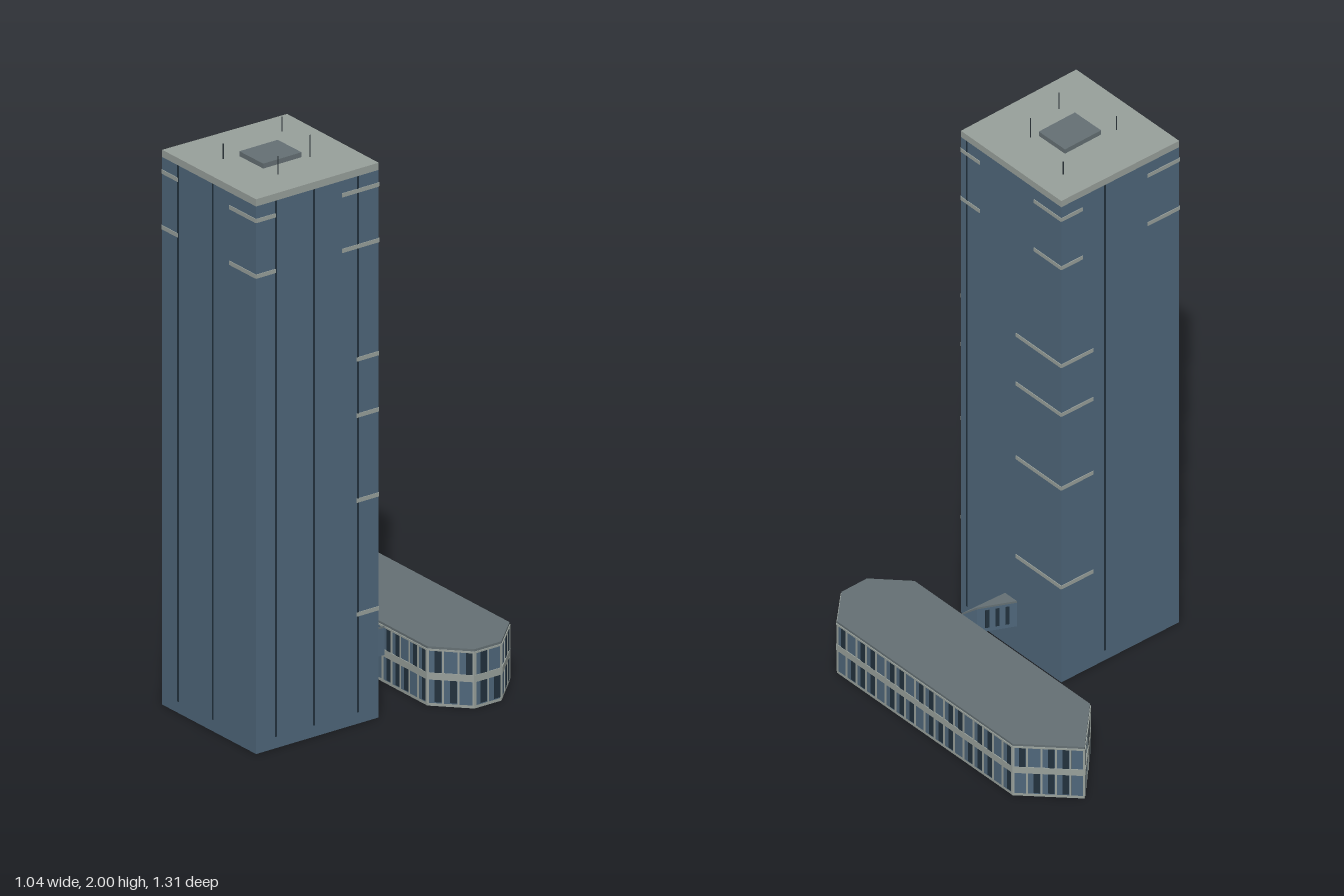
import * as THREE from 'three';

const paint = (name, color) => {
  const m = new THREE.MeshStandardMaterial({ color });
  m.name = name;
  return m;
};

export function createModel() {
  const glass = paint('blue glass', 0x4f677b);
  const darkGlass = paint('dark glass', 0x22313d);
  const trim = paint('pale concrete', 0x98a09b);
  const roofGrey = paint('roof grey', 0x657074);
  const metal = paint('dark metal', 0x2b3338);

  const model = new THREE.Group();
  model.name = 'officeTower';

  const group = (name) => {
    const g = new THREE.Group();
    g.name = name;
    model.add(g);
    return g;
  };

  // Upright prism from a plan outline of [x, z] points
  const prism = (parent, name, plan, y0, y1, mat) => {
    const shape = new THREE.Shape(plan.map(([x, z]) => new THREE.Vector2(x, -z)));
    const geo = new THREE.ExtrudeGeometry(shape, { depth: y1 - y0, bevelEnabled: false });
    geo.rotateX(-Math.PI / 2);
    const mesh = new THREE.Mesh(geo, mat);
    mesh.name = name;
    mesh.position.y = y0;
    parent.add(mesh);
  };

  // Thin plate on the wall from p to q, covering the fractions t0..t1
  const plate = (parent, name, p, q, t0, t1, y0, y1, mat, thick = 0.006) => {
    const dx = q[0] - p[0], dz = q[1] - p[1], t = (t0 + t1) / 2;
    const geo = new THREE.BoxGeometry(Math.hypot(dx, dz) * (t1 - t0), y1 - y0, thick);
    const mesh = new THREE.Mesh(geo, mat);
    mesh.name = name;
    mesh.position.set(p[0] + dx * t, (y0 + y1) / 2, p[1] + dz * t);
    mesh.rotation.y = -Math.atan2(dz, dx);
    parent.add(mesh);
  };

  // Tower: back, right, front and left corners in plan
  const A = [-0.209, 0.04 - 0.08], B = [0.172, 0.268], C = [-0.132, 0.652], D = [-0.522, 0.34];
  const towerPlan = [A, B, C, D];
  const tower = group('tower');
  prism(tower, 'towerBody', towerPlan, 0, 1.9, glass);
  prism(tower, 'towerParapet', towerPlan, 1.9, 1.925, trim);

  // Facade lines and floor bands, as fractions along each wall
  const walls = [
    { p: A, q: B, lines: [0.94], high: [[0, 0.27], [0.81, 1]], low: [[0, 0.45]] },
    { p: B, q: C, lines: [0.17, 0.53, 0.84], high: [[0, 0.3], [0.84, 1]], low: [[0, 0.18]] },
    { p: C, q: D, lines: [0.46, 0.83], high: [[0, 0.28], [0.83, 1]], low: [] },
    { p: D, q: A, lines: [0.63], high: [[0, 0.27], [0.82, 1]], low: [[0.73, 1]] },
  ];
  for (const { p, q, lines, high, low } of walls) {
    for (const t of lines) plate(tower, 'facadeLine', p, q, t - 0.007, t + 0.007, 0.04, 1.9, darkGlass, 0.003);
    for (const y of [1.85, 1.657])
      for (const [a, b] of high) plate(tower, 'upperBand', p, q, a, b, y - 0.007, y + 0.007, trim, 0.005);
    for (const y of [1.265, 1.07, 0.775, 0.38])
      for (const [a, b] of low) plate(tower, 'lowerBand', p, q, a, b, y - 0.007, y + 0.007, trim, 0.005);
  }

  // Rooftop plant box and antennas
  prism(tower, 'roofPlant', [[-0.176, 0.208], [-0.077, 0.286], [-0.172, 0.406], [-0.271, 0.328]], 1.925, 1.942, roofGrey);
  for (const [x, z, top] of [[-0.19, 0.1, 1.975], [-0.052, 0.275, 2], [-0.315, 0.362, 1.978], [-0.115, 0.438, 1.988]]) {
    const mast = new THREE.Mesh(new THREE.CylinderGeometry(0.002, 0.002, top - 1.925, 6), metal);
    mast.name = 'antenna';
    mast.position.set(x, (top + 1.925) / 2, z);
    tower.add(mast);
  }

  // Low annex with chamfered ends
  const annexPlan = [[-0.392, -0.63], [-0.163, -0.654], [0.503, -0.118], [0.517, 0.038],
    [0.45, 0.122], [0.298, 0.136], [-0.368, -0.402]];
  const annex = group('annex');
  prism(annex, 'annexBase', annexPlan, 0, 0.01, trim);
  prism(annex, 'annexWalls', annexPlan, 0.01, 0.198, glass);
  prism(annex, 'annexRoof', annexPlan, 0.198, 0.206, roofGrey);

  // Annex facade: mullions, dark panes on two floors, and a pale middle band
  annexPlan.forEach((p, i) => {
    const q = annexPlan[(i + 1) % annexPlan.length];
    const length = Math.hypot(q[0] - p[0], q[1] - p[1]);
    const n = Math.max(2, Math.round(length / 0.048));
    plate(annex, 'middleBand', p, q, 0, 1, 0.092, 0.116, trim);
    plate(annex, 'topRail', p, q, 0, 1, 0.192, 0.198, trim);
    for (let k = 0; k <= n; k++) {
      const t = Math.min(Math.max(k / n, 0.003 / length), 1 - 0.003 / length), w = 0.003 / length;
      plate(annex, 'mullion', p, q, t - w, t + w, 0.01, 0.195, trim, 0.005);
      if (k === n) continue;
      const a = (k + 0.1) / n, b = (k + 0.55) / n;
      if ((k * 3 + i) % 4 !== 0) plate(annex, 'lowerPane', p, q, a, b, 0.014, 0.092, darkGlass, 0.003);
      if ((k * 5 + i) % 3 !== 0) plate(annex, 'upperPane', p, q, a, b, 0.116, 0.192, darkGlass, 0.003);
    }
  });

  // Raised link bridge between the two buildings
  const bridge = group('linkBridge');
  const b1 = [-0.042, 0.097], b2 = [0.078, 0.042 - 0.003], b3 = [0.122, 0.0], b4 = [0.004, 0.133];
  const bridgePlan = [b1, b2, b3, b4];
  prism(bridge, 'bridgeBody', bridgePlan, 0.1, 0.194, glass);
  prism(bridge, 'bridgeRoof', bridgePlan, 0.194, 0.201, roofGrey);
  for (const [p, q] of [[b1, b2], [b4, b3]])
    for (const t of [0.25, 0.5, 0.75]) plate(bridge, 'bridgePane', p, q, t - 0.05, t + 0.05, 0.115, 0.185, darkGlass, 0.004);

  return model;
}
